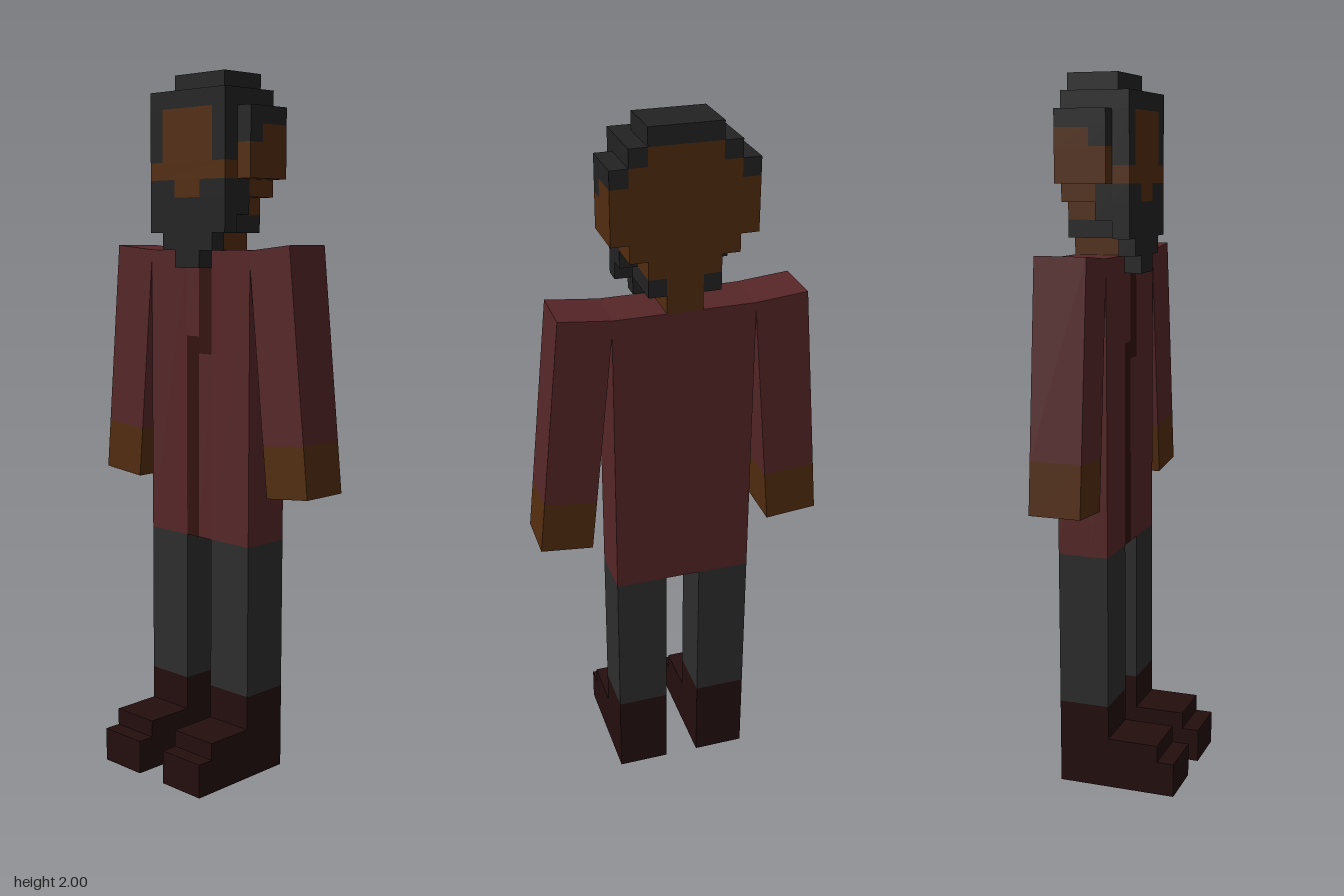
import * as THREE from 'three';

const U = 2 / 41;               // one block
const X0 = -0.2, Z0 = -3.5 * U; // grid corner: lowest x, back

const mat = (color) => new THREE.MeshStandardMaterial({ color });

export function createModel() {
  const root = new THREE.Group();
  const skin = mat(0x522c0f), hair = mat(0x222222), coat = mat(0x562628);
  const lining = mat(0x33110d), cloth = mat(0x2d2d2d), leather = mat(0x240e0e);

  const group = (name) => {
    const g = new THREE.Group();
    g.name = name;
    root.add(g);
    return g;
  };
  // box from grid limits, in blocks
  const block = (parent, name, m, x0, x1, y0, y1, z0, z1) => {
    const mesh = new THREE.Mesh(
      new THREE.BoxGeometry((x1 - x0) * U, (y1 - y0) * U, (z1 - z0) * U), m);
    mesh.position.set(X0 + (x0 + x1) / 2 * U, (y0 + y1) / 2 * U, Z0 + (z0 + z1) / 2 * U);
    mesh.name = name;
    parent.add(mesh);
  };
  // the same block on both sides of the 8-block wide body
  const pair = (parent, name, m, x0, x1, ...rest) => {
    block(parent, name, m, x0, x1, ...rest);
    block(parent, name, m, 8 - x1, 8 - x0, ...rest);
  };

  // Legs with stepped boots
  const legs = group('legs');
  pair(legs, 'trouserLeg', cloth, 0, 3, 5, 14, 0, 3);
  pair(legs, 'bootShaft', leather, 0, 3, 0, 5, 0, 3);
  pair(legs, 'bootInstep', leather, 0, 3, 2, 3, 3, 6);
  pair(legs, 'bootToe', leather, 0, 3, 0, 2, 3, 7);

  // Coat, with the front opening set flush into the front layer
  const body = group('coat');
  block(body, 'coatBack', coat, 0, 8, 14, 31, 0, 2);
  block(body, 'coatFrontRight', coat, 0, 3, 14, 31, 2, 3);
  block(body, 'coatFrontLeft', coat, 5, 8, 14, 31, 2, 3);
  block(body, 'lapel', coat, 3, 4, 26, 31, 2, 3);
  block(body, 'coatFlap', coat, 4, 5, 14, 25, 2, 3);
  block(body, 'lowerOpening', lining, 3, 4, 14, 26, 2, 3);
  block(body, 'upperOpening', lining, 4, 5, 25, 31, 2, 3);

  // Arms hang from the shoulder corners, swung slightly outward
  for (const [name, side, px, deg] of [['leftArm', 1, 0.186, 6.1], ['rightArm', -1, -0.198, 5]]) {
    const arm = group(name);
    arm.position.set(px, 31 * U, -2 * U);
    arm.rotation.z = side * THREE.MathUtils.degToRad(deg);
    for (const [part, m, top, len] of [['sleeve', coat, 0, 11], ['hand', skin, 11, 3]]) {
      const mesh = new THREE.Mesh(new THREE.BoxGeometry(3 * U, len * U, 3 * U), m);
      mesh.position.set(side * 1.5 * U, -(top + len / 2) * U, 0);
      mesh.name = part;
      arm.add(mesh);
    }
  }

  // Head: rounded skin disc at the back, face layer in front
  const head = group('head');
  block(head, 'neck', skin, 3, 5, 31, 33, 0, 3);
  block(head, 'jaw', skin, 2, 6, 33, 34, 0, 2);
  block(head, 'lowerHead', skin, 1, 7, 34, 35, 0, 2);
  block(head, 'midHead', skin, 0, 8, 35, 37, 0, 3);
  block(head, 'templesBack', skin, 0, 8, 37, 38, 0, 2);
  block(head, 'templesFront', skin, 1, 7, 37, 38, 2, 3);
  block(head, 'upperHead', skin, 1, 7, 38, 39, 0, 3);
  block(head, 'crown', skin, 2, 6, 39, 40, 0, 3);
  block(head, 'face', skin, 2, 6, 36, 39, 3, 4);
  block(head, 'cheeks', skin, 1, 7, 35, 36, 3, 4);
  block(head, 'mouth', skin, 3, 5, 34, 35, 3, 4);

  // Hair cap and fringe
  const cap = group('hair');
  block(cap, 'hairTop', hair, 2, 6, 40, 41, 0, 3);
  pair(cap, 'hairUpperSide', hair, 1, 2, 39, 40, 0, 3);
  pair(cap, 'hairSide', hair, 0, 1, 38, 39, 0, 3);
  pair(cap, 'hairTemple', hair, 0, 1, 37, 38, 2, 3);
  block(cap, 'fringe', hair, 1, 7, 39, 40, 3, 4);
  pair(cap, 'fringeSide', hair, 1, 2, 36, 39, 3, 4);

  // Beard, tapering downward
  const beard = group('beard');
  block(beard, 'beardBase', hair, 1, 7, 33, 35, 2, 3);
  pair(beard, 'moustacheSide', hair, 1, 3, 34, 35, 3, 4);
  block(beard, 'beardFront', hair, 1, 7, 32, 34, 3, 4);
  pair(beard, 'beardUnderJaw', hair, 2, 3, 32, 33, 0, 3);
  block(beard, 'beardLower', hair, 2, 6, 31, 32, 3, 4);
  block(beard, 'beardTip', hair, 3, 5, 30, 31, 3, 4);

  return root;
}
